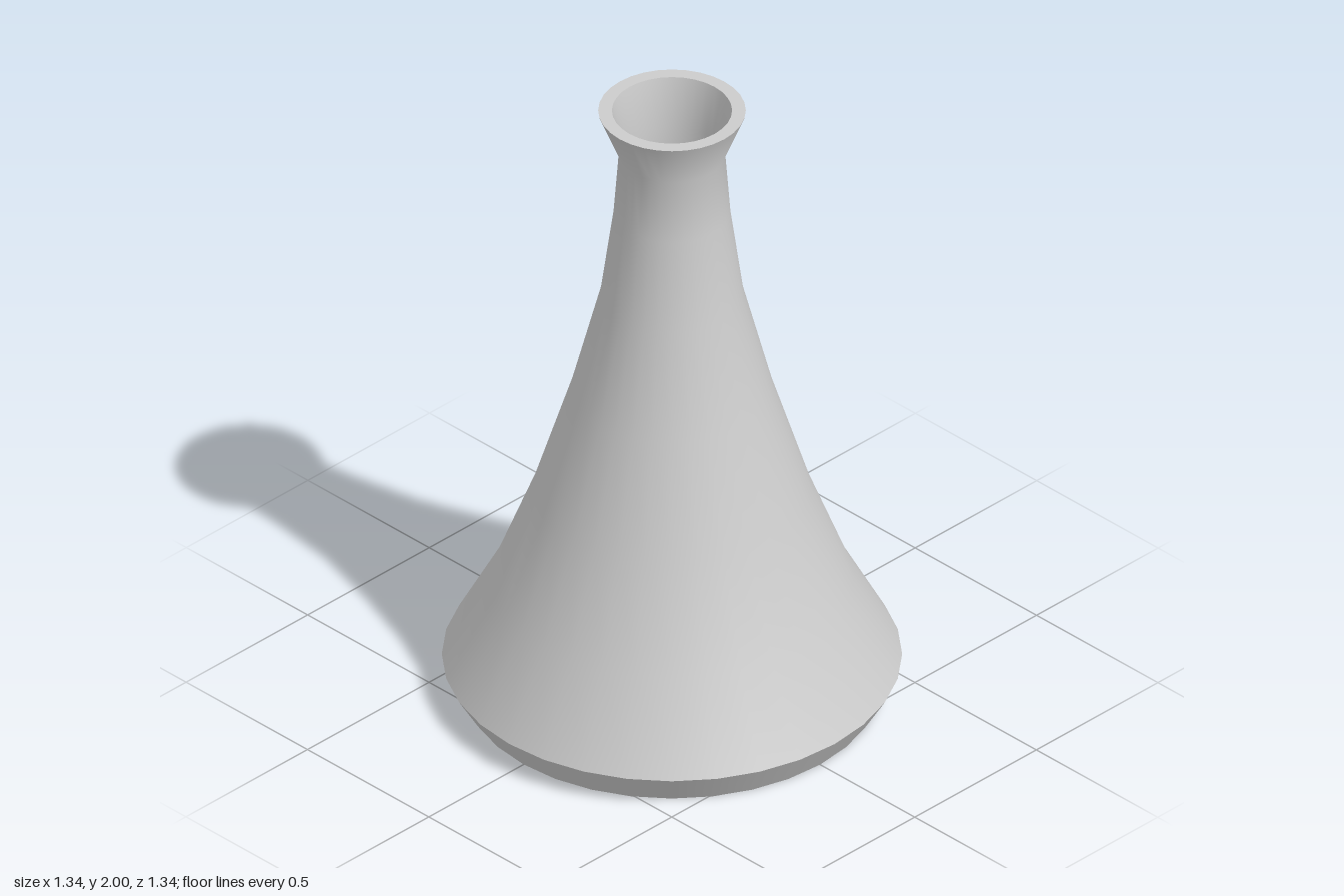
import * as THREE from 'three';

const SEGMENTS = 32;
const material = new THREE.MeshStandardMaterial({ color: 0xcccccc });

// Each band is its own lathe, so the edges between bands stay sharp.
function band(name, profile) {
  const points = profile.map(([r, y]) => new THREE.Vector2(r, y));
  const mesh = new THREE.Mesh(new THREE.LatheGeometry(points, SEGMENTS), material);
  mesh.name = name;
  return mesh;
}

export function createModel() {
  const flask = new THREE.Group();
  flask.name = 'flask';

  // Flared body narrowing to the neck, then opening out to the lip
  const body = [
    [0.67, 0.1], [0.53, 0.36], [0.405, 0.68], [0.295, 1.03],
    [0.21, 1.36], [0.17, 1.65], [0.155, 1.85], [0.215, 2],
  ];

  // Hollow inside, from the mouth down to the floor
  const inside = [
    [0.175, 2], [0.14, 1.85], [0.15, 1.65], [0.185, 1.36],
    [0.265, 1.03], [0.37, 0.68], [0.49, 0.36], [0.61, 0.12],
  ];

  flask.add(
    band('underside', [[0, 0], [0.61, 0]]),
    band('baseBevel', [[0.61, 0], [0.67, 0.1]]),
    band('body', body),
    band('rim', [[0.215, 2], [0.175, 2]]),
    band('innerWall', inside),
    band('innerFloor', [[0.61, 0.12], [0, 0.12]]),
  );
  return flask;
}
